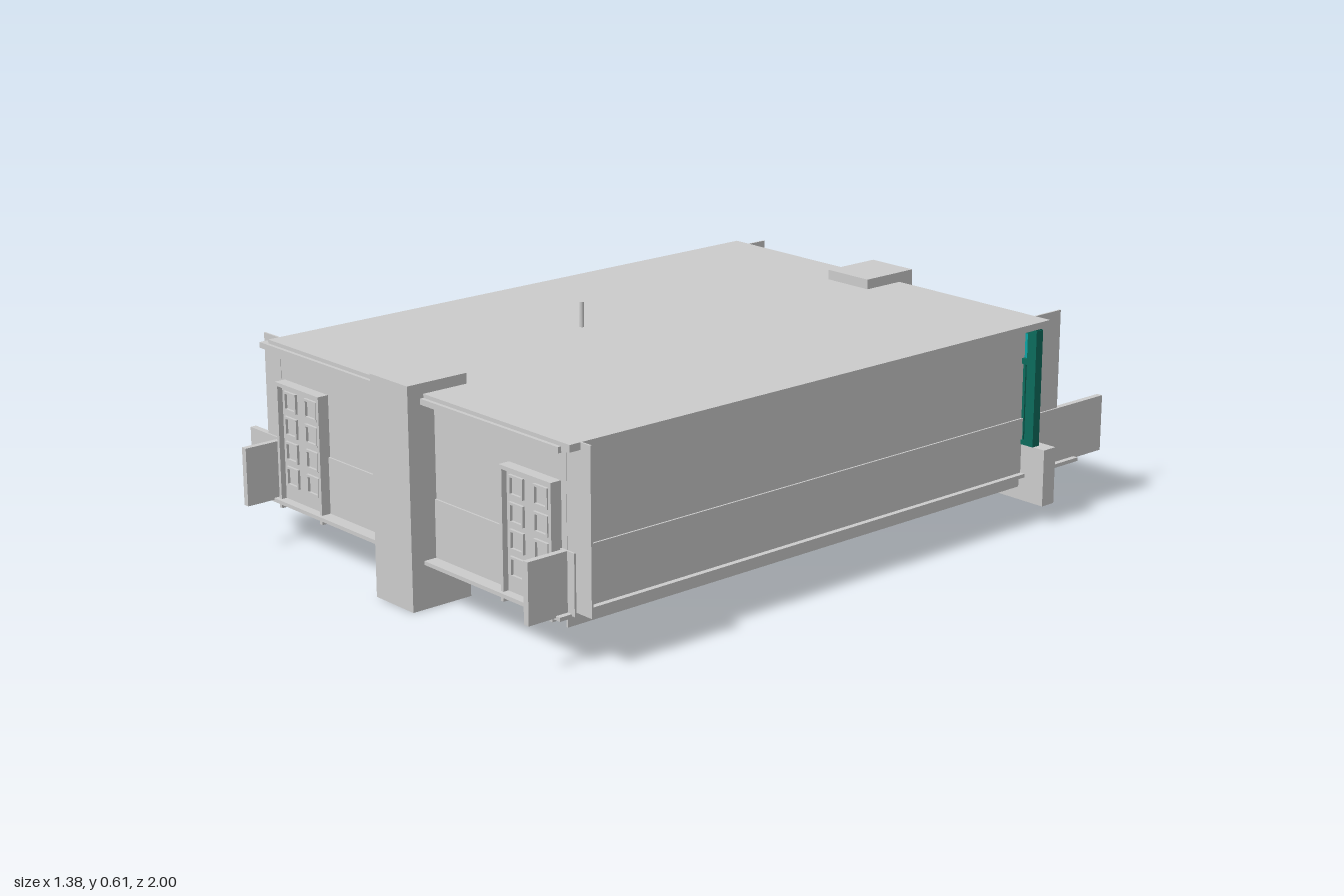
import * as THREE from 'three';

const grey = new THREE.MeshStandardMaterial({ color: 0xcccccc, side: THREE.DoubleSide });
const glass = new THREE.MeshStandardMaterial({ color: 0x0aa5a5 });
const frame = new THREE.MeshStandardMaterial({ color: 0x0b6b5c });

export function createModel() {
  const model = new THREE.Group();

  // Box given by its limits on each axis
  function block(name, [x0, x1], [y0, y1], [z0, z1], material = grey, parent = model) {
    const mesh = new THREE.Mesh(new THREE.BoxGeometry(x1 - x0, y1 - y0, z1 - z0), material);
    mesh.position.set((x0 + x1) / 2, (y0 + y1) / 2, (z0 + z1) / 2);
    mesh.name = name;
    parent.add(mesh);
    return mesh;
  }

  function group(name) {
    const g = new THREE.Group();
    g.name = name;
    model.add(g);
    return g;
  }

  // Floor and roof
  block('floor', [-0.61, 0.62], [0.115, 0.125], [-0.89, 0.92]);
  block('roof', [-0.55, 0.65], [0.527, 0.545], [-0.72, 0.91]);
  block('sideRoofLip', [-0.575, -0.55], [0.52, 0.535], [-0.71, 0.92]);
  block('frontRoofLip', [-0.575, 0.62], [0.52, 0.535], [0.91, 0.92]);

  // Thin walls running past the corners
  block('rightWall', [-0.548, -0.543], [0.09, 0.53], [-0.825, 0.88]);
  block('leftWall', [0.595, 0.6], [0.085, 0.545], [-0.82, 0.88]);
  block('frontWall', [-0.615, 0.685], [0.13, 0.545], [0.874, 0.879]);

  // Plinth bands
  const yBand = [0.12, 0.275];
  block('rightBand', [-0.555, -0.538], yBand, [-1, 1]);
  block('leftBand', [0.588, 0.605], yBand, [-1, 1]);
  block('frontBand', [-0.69, 0.63], yBand, [0.867, 0.884]);
  block('backBeam', [-0.645, 0.685], [0.05, 0.205], [-0.72, -0.675]);

  // Front and back piers, each with a thick middle course
  for (const [name, z] of [['frontPier', [0.78, 0.957]], ['backPier', [-0.77, -0.595]]]) {
    const pier = group(name);
    for (const y of [[0, 0.08], [0.08, 0.31], [0.31, 0.572]]) {
      block('pierCourse', [-0.045, 0.105], y, z, grey, pier);
    }
  }

  // Panelled front doors
  for (const cx of [-0.433, 0.485]) {
    const door = group('frontDoor');
    block('doorSlab', [cx - 0.085, cx + 0.085], [0.12, 0.43], [0.88, 0.895], grey, door);
    block('doorHead', [cx - 0.095, cx + 0.095], [0.428, 0.438], [0.875, 0.91], grey, door);
    for (const s of [-1, 1]) {
      const px = cx + s * 0.09;
      block('doorJamb', [px - 0.005, px + 0.005], [0.1, 0.43], [0.875, 0.91], grey, door);
      for (let row = 0; row < 4; row++) {
        const y = 0.19 + row * 0.067;
        const mx = cx + s * 0.045;
        // Raised moulding around each door panel
        for (const e of [-1, 1]) {
          const ex = mx + e * 0.023;
          const ey = y + e * 0.023;
          block('doorMoulding', [ex - 0.003, ex + 0.003], [y - 0.026, y + 0.026], [0.895, 0.902], grey, door);
          block('doorMoulding', [mx - 0.026, mx + 0.026], [ey - 0.003, ey + 0.003], [0.895, 0.902], grey, door);
        }
      }
    }
  }

  // Glazed back wall: transom, posts, rails and tall panes with open bays between
  const glazing = group('backGlazing');
  for (const [x0, x1] of [[-0.57, -0.335], [-0.335, 0.03], [0.03, 0.375], [0.375, 0.635]]) {
    block('transomGlass', [x0, x1], [0.44, 0.515], [-0.69, -0.682], glass, glazing);
  }
  block('topRail', [-0.575, 0.645], [0.51, 0.526], [-0.695, -0.672], frame, glazing);
  block('middleRail', [-0.575, 0.645], [0.425, 0.44], [-0.695, -0.672], frame, glazing);
  block('bottomRail', [-0.575, 0.645], [0.205, 0.217], [-0.695, -0.672], frame, glazing);
  for (const [x, w] of [[-0.572, 0.03], [-0.335, 0.055], [-0.265, 0.02], [0.375, 0.055], [0.632, 0.03]]) {
    block('post', [x - w / 2, x + w / 2], [0.205, 0.522], [-0.697, -0.672], frame, glazing);
  }
  for (const [x0, x1] of [[0.49, 0.6], [-0.19, -0.05], [-0.5, -0.39]]) {
    block('pane', [x0, x1], [0.217, 0.43], [-0.69, -0.682], glass, glazing);
    for (const x of [x0, x1]) {
      block('paneFrame', [x - 0.008, x + 0.008], [0.217, 0.43], [-0.694, -0.678], frame, glazing);
    }
  }

  // Vent pipe on the roof
  const pipe = new THREE.Mesh(new THREE.CylinderGeometry(0.006, 0.006, 0.07, 8), grey);
  pipe.position.set(-0.113, 0.577, 0.235);
  pipe.name = 'ventPipe';
  model.add(pipe);

  return model;
}
